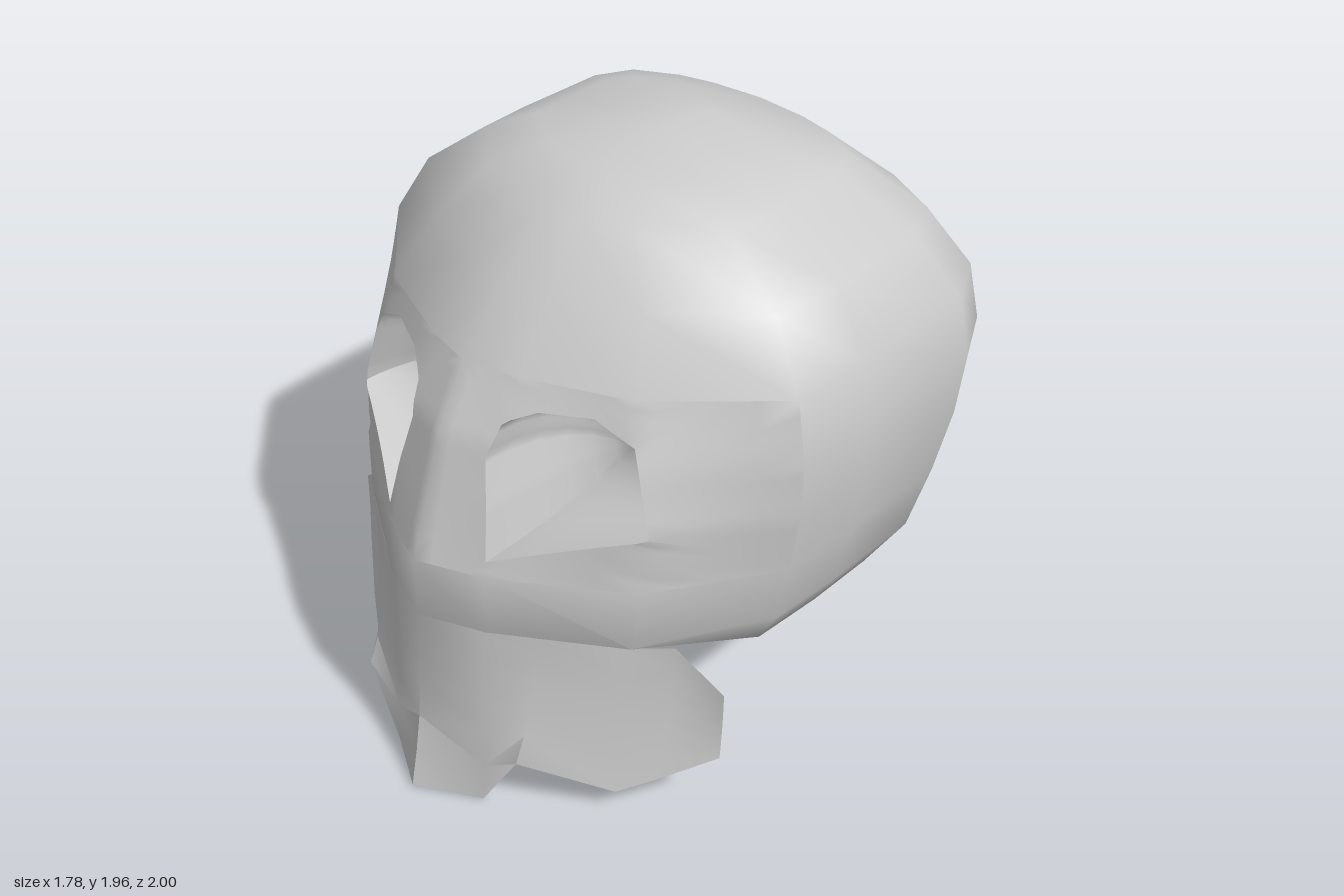
import * as THREE from 'three';
import { toCreasedNormals } from 'three/addons/utils/BufferGeometryUtils.js';

// Horizontal sections, top to bottom:
// y, front z, brow x, brow z, half width, temple z, back z
const ROWS = [
  [1.95, -0.05, 0.05, -0.06, 0.08, -0.1, -0.32],
  [1.915, 0.17, 0.18, 0.14, 0.35, 0.02, -0.45],
  [1.85, 0.34, 0.3, 0.28, 0.5, 0.1, -0.63],
  [1.68, 0.5, 0.42, 0.38, 0.73, 0.15, -0.83],
  [1.48, 0.68, 0.5, 0.5, 0.85, 0.19, -0.97],
  [1.29, 0.79, 0.56, 0.54, 0.89, 0.2, -1],
  [1.1, 0.85, 0.6, 0.57, 0.89, 0.2, -0.96],
  [0.89, 0.92, 0.6, 0.58, 0.86, 0.2, -0.905],
  [0.68, 0.92, 0.58, 0.6, 0.82, 0.2, -0.83],
  [0.57, 0.6, 0.5, 0.5, 0.76, 0.2, -0.67],
  [0.5, 0.55, 0.4, 0.45, 0.62, 0.12, -0.56],
  [0.45, 0.42, 0.25, 0.38, 0.45, 0.05, -0.3],
];
const EYE_TOP = 4, EYE_BOTTOM = 7, EYE_SIDE = 3; // grid cells taken by the eye patch

// Half section from the front centre round to the back centre
const SECTIONS = ROWS.map(([y, zf, bx, bz, w, tz, zb]) => {
  const s = w / 0.89;
  return [
    [0, zf], [bx * 0.36, zf - 0.25 * (zf - bz)], [bx, bz], [w * 0.98, tz], [w, tz - 0.3 * s],
    [w, zb + 0.42 * s], [w * 0.88, zb + 0.21 * s], [w * 0.6, zb + 0.08 * s], [w * 0.37, zb + 0.03 * s], [0, zb],
  ].map(([x, z]) => new THREE.Vector3(x, y, z));
});

// Point on the skull at section position u and height y
function skullPoint(u, y) {
  let r = 0;
  while (r < ROWS.length - 2 && y < ROWS[r + 1][0]) r++;
  const t = (ROWS[r][0] - y) / (ROWS[r][0] - ROWS[r + 1][0]);
  const i = Math.min(Math.floor(u), SECTIONS[0].length - 2);
  const along = (s) => s[i].clone().lerp(s[i + 1], u - i);
  return along(SECTIONS[r]).lerp(along(SECTIONS[r + 1]), t);
}

// Section position of a given x on the front
function findU(x, y) {
  let lo = 0, hi = EYE_SIDE;
  for (let k = 0; k < 30; k++) {
    const mid = (lo + hi) / 2;
    if (skullPoint(mid, y).x < x) lo = mid; else hi = mid;
  }
  return lo;
}

// Collects triangles of one half together with their mirror images
class HalfMesh {
  constructor() { this.pos = []; }
  tri(a, b, c) {
    for (const p of [a, b, c]) this.pos.push(p.x, p.y, p.z);
    for (const p of [a, c, b]) this.pos.push(-p.x, p.y, p.z);
  }
  quad(a, b, c, d) { this.tri(a, b, c); this.tri(a, c, d); }
  ring(inner, outer) {
    const n = inner.length;
    for (let j = 0; j < n; j++) {
      const k = (j + 1) % n;
      this.quad(inner[j], outer[j], outer[k], inner[k]);
    }
  }
  build(name, side = THREE.FrontSide) {
    const g = new THREE.BufferGeometry();
    g.setAttribute('position', new THREE.Float32BufferAttribute(this.pos, 3));
    const mesh = new THREE.Mesh(toCreasedNormals(g, 0.9), new THREE.MeshStandardMaterial({ color: 0xcccccc, side }));
    mesh.name = name;
    return mesh;
  }
}

// Eye rim corners in the (u, y) plane, counter-clockwise
const eyeCorners = [[0.21, 0.94], [0.61, 1.08], [0.53, 1.35], [0.41, 1.41], [0.26, 1.4], [0.175, 1.35], [0.155, 1.25]]
  .map(([x, y]) => new THREE.Vector2(findU(x, y), y));
const eyeCentre = new THREE.Vector2(findU(0.37, 1.19), 1.19);

// Where the ray from the eye centre towards p meets the rim
function rimToward(p) {
  const d = p.clone().sub(eyeCentre);
  let best = eyeCorners[0];
  eyeCorners.forEach((a, i) => {
    const e = eyeCorners[(i + 1) % eyeCorners.length].clone().sub(a);
    const ac = a.clone().sub(eyeCentre), den = d.cross(e);
    const t = ac.cross(e) / den, s = ac.cross(d) / den;
    if (t > 0 && s >= 0 && s <= 1) best = eyeCentre.clone().addScaledVector(d, t);
  });
  return best;
}

export function createModel() {
  const group = new THREE.Group();
  const skull = new HalfMesh(), sockets = new HalfMesh(), jaw = new HalfMesh();

  // Cranium and brow, leaving out the eye patch
  for (let r = 0; r < SECTIONS.length - 1; r++) {
    for (let i = 0; i < SECTIONS[r].length - 1; i++) {
      if (r >= EYE_TOP && r < EYE_BOTTOM && i < EYE_SIDE) continue;
      const a = SECTIONS[r], b = SECTIONS[r + 1];
      skull.quad(a[i], b[i], b[i + 1], a[i + 1]);
    }
  }

  // Crown and underside caps
  const top = SECTIONS[0], base = SECTIONS[SECTIONS.length - 1];
  const crown = new THREE.Vector3(0, 1.955, -0.2), floor = new THREE.Vector3(0, 0.45, 0);
  for (let i = 0; i < top.length - 1; i++) {
    skull.tri(crown, top[i], top[i + 1]);
    skull.tri(floor, base[i + 1], base[i]);
  }

  // Eye patch: rings from its rectangular border to the rim
  const y0 = ROWS[EYE_BOTTOM][0], border = [];
  const ys = [];
  for (let r = EYE_BOTTOM; r > EYE_TOP; r--)
    for (let k = 0; k < 4; k++) ys.push(THREE.MathUtils.lerp(ROWS[r][0], ROWS[r - 1][0], k / 4));
  const y1 = ROWS[EYE_TOP][0], n = 12;
  for (let k = 0; k < n; k++) border.push(new THREE.Vector2(EYE_SIDE * k / n, y0));
  for (const y of ys) border.push(new THREE.Vector2(EYE_SIDE, y));
  for (let k = 0; k < n; k++) border.push(new THREE.Vector2(EYE_SIDE * (1 - k / n), y1));
  for (const y of [...ys.slice(1), y1].reverse()) border.push(new THREE.Vector2(0, y));

  const rim = border.map(rimToward);
  for (const c of eyeCorners) { // keep the rim corners sharp
    let near = 0;
    rim.forEach((p, j) => { if (p.distanceTo(c) < rim[near].distanceTo(c)) near = j; });
    rim[near] = c.clone();
  }
  const patchRing = (t) => rim.map((p, j) => {
    const q = p.clone().lerp(border[j], t);
    return skullPoint(q.x, q.y);
  });
  for (let k = 0; k < 4; k++) skull.ring(patchRing(k / 4), patchRing((k + 1) / 4));

  // Hollow eye sockets
  const rim3 = patchRing(0), deep = new THREE.Vector3(0.38, 1.2, 0.38);
  const bowl = (t) => rim3.map((p) => {
    const a = t * Math.PI / 2, xy = 1 - Math.cos(a), z = Math.sin(a);
    return new THREE.Vector3(p.x + (deep.x - p.x) * xy, p.y + (deep.y - p.y) * xy, p.z + (deep.z - p.z) * z);
  });
  for (let k = 0; k < 6; k++) sockets.ring(bowl((k + 1) / 6), bowl(k / 6));

  // Thin upper jaw with a central tooth and flared cheeks: x, top y, top z, bottom y, bottom z
  const columns = [
    [0, 0.68, 0.92, 0.015, 1], [0.2, 0.68, 0.843, 0, 0.88], [0.34, 0.68, 0.756, 0.235, 0.86],
    [0.56, 0.68, 0.613, 0.11, 0.65], [0.66, 0.66, 0.49, 0.175, 0.575], [0.81, 0.53, 0.44, 0.28, 0.45],
  ].map(([x, ty, tz, by, bz]) => Array.from({ length: 6 }, (_, k) => {
    const t = k / 5;
    return new THREE.Vector3(x, ty + (by - ty) * t, tz + (bz - tz) * t * t);
  }));
  for (let c = 0; c < columns.length - 1; c++)
    for (let k = 0; k < 5; k++)
      jaw.quad(columns[c][k], columns[c][k + 1], columns[c + 1][k + 1], columns[c + 1][k]);

  group.add(skull.build('cranium'), sockets.build('eyeSockets', THREE.DoubleSide), jaw.build('upperJaw', THREE.DoubleSide));
  return group;
}
